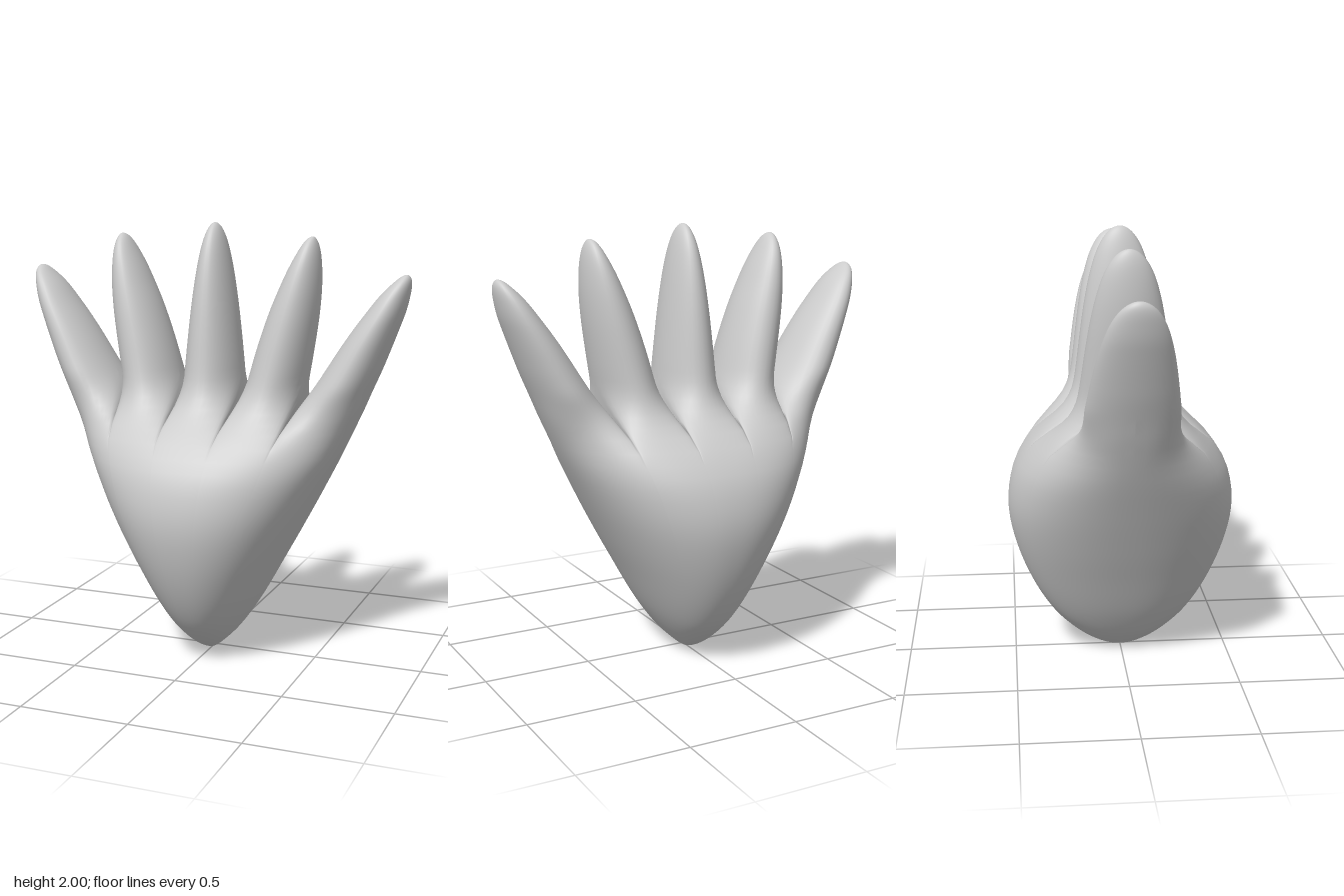
import * as THREE from 'three';
import { mergeVertices } from 'three/addons/utils/BufferGeometryUtils.js';

const FORK = 1.1; // height where the five fingers separate
const ROUND = 2.2; // superellipse exponent of the palm section
const N = 16; // points across one finger, front or back

// Smooth interpolation through [key, value] points.
function curve(points, warp = (k) => k) {
  const p = points.map(([k, v]) => [warp(k), v]);
  const last = p.length - 1;
  const slope = (i) => {
    const a = p[Math.max(i - 1, 0)], b = p[Math.min(i + 1, last)];
    return (b[1] - a[1]) / (b[0] - a[0]);
  };
  return (key) => {
    const k = THREE.MathUtils.clamp(warp(key), p[0][0], p[last][0]);
    let i = 0;
    while (i < last - 1 && k > p[i + 1][0]) i++;
    const d = p[i + 1][0] - p[i][0], t = (k - p[i][0]) / d, t2 = t * t, t3 = t2 * t;
    return (2 * t3 - 3 * t2 + 1) * p[i][1] + (t3 - 2 * t2 + t) * d * slope(i)
      + (3 * t2 - 2 * t3) * p[i + 1][1] + (t3 - t2) * d * slope(i + 1);
  };
}
const fromBottom = (y) => Math.sqrt(Math.max(y, 0)); // rounds the lower end
const toTip = (h) => 1 - Math.sqrt(Math.max(1 - h, 0)); // rounds the fingertips

// Palm: half width and half depth by height
const palmWidth = curve([[0, 0], [0.03, 0.05], [0.1, 0.118], [0.2, 0.188], [0.4, 0.3],
  [0.6, 0.408], [0.8, 0.513], [1, 0.615], [1.1, 0.662], [1.3, 0.75]], fromBottom);
const palmDepth = curve([[0, 0], [0.03, 0.115], [0.1, 0.22], [0.2, 0.32], [0.4, 0.437], [0.6, 0.505],
  [0.75, 0.522], [0.9, 0.495], [1, 0.44], [1.1, 0.36], [1.2, 0.28], [1.3, 0.225], [1.4, 0.19]], fromBottom);

// Fingers: half depth, and inner and outer edges, from fork (0) to tip (1)
const fingerDepth = curve([[0, 0.27], [0.1, 0.24], [0.2, 0.217], [0.3, 0.202], [0.45, 0.185],
  [0.6, 0.166], [0.75, 0.14], [0.87, 0.108], [0.95, 0.07], [1, 0]], toTip);
const middle = [[0, 0.135], [0.22, 0.128], [0.44, 0.111], [0.67, 0.087], [0.83, 0.064], [0.944, 0.038], [1, 0]];
const fingers = [
  { tip: 2, inner: curve(middle.map(([h, x]) => [h, -x]), toTip), outer: curve(middle, toTip) },
  {
    tip: 1.945,
    inner: curve([[0, 0.135], [0.118, 0.154], [0.355, 0.204], [0.59, 0.268], [0.77, 0.331], [0.923, 0.397], [1, 0.46]], toTip),
    outer: curve([[0, 0.4], [0.118, 0.418], [0.355, 0.455], [0.59, 0.485], [0.77, 0.496], [0.923, 0.489], [1, 0.46]], toTip),
  },
  {
    tip: 1.79,
    inner: curve([[0, 0.4], [0.145, 0.44], [0.435, 0.56], [0.725, 0.695], [0.87, 0.772], [0.96, 0.835], [1, 0.885]], toTip),
    outer: curve([[0, 0.662], [0.145, 0.707], [0.435, 0.793], [0.725, 0.869], [0.87, 0.896], [0.96, 0.902], [1, 0.885]], toTip),
  },
];

// One level section of finger column k (-2..2): front left to right, then back.
function section(k, h, y) {
  const f = fingers[Math.abs(k)];
  const scale = y < FORK ? palmWidth(y) / palmWidth(FORK) : 1;
  let left = f.inner(h) * scale, right = f.outer(h) * scale;
  if (k < 0) [left, right] = [-right, -left];
  const blend = THREE.MathUtils.smoothstep(y, 1.04, 1.32);
  const boxy = THREE.MathUtils.lerp(0.6, 1, blend); // fingers start fuller at the root
  const width = Math.max(palmWidth(y), 1e-6);
  const front = [];
  for (let j = 0; j <= N; j++) {
    const a = (j / N) * Math.PI;
    const x = (left + right) / 2 - Math.cos(a) * (right - left) / 2;
    const q = Math.min(Math.abs(x) / width, 1);
    const palm = palmDepth(y) * Math.pow(1 - Math.pow(q, ROUND), 1 / ROUND);
    const finger = fingerDepth(h) * Math.pow(Math.max(Math.sin(a), 0), boxy);
    front.push([x, y, (1 - blend) * palm + blend * finger]);
  }
  return [...front, ...front.map(([x, yy, z]) => [x, yy, -z]).reverse()];
}

// Joins rings of points; the walls between columns are only built above the fork.
function loft(rings, closed, positions, indices) {
  const base = positions.length / 3, n = rings[0].length;
  rings.forEach((ring) => ring.forEach((p) => positions.push(...p)));
  for (let r = 0; r < rings.length - 1; r++) {
    for (let j = 0; j < n; j++) {
      if (!closed && (j === N || j === n - 1)) continue;
      const a = base + r * n + j, b = base + r * n + (j + 1) % n;
      indices.push(a, b, b + n, a, b + n, a + n);
    }
  }
}

export function createModel() {
  const positions = [], indices = [];
  for (let k = -2; k <= 2; k++) {
    const palmRings = [], fingerRings = [];
    for (let i = 0; i <= 40; i++) {
      const u = i / 40;
      palmRings.push(section(k, 0, FORK * u * u));
      const h = 1 - (1 - u) ** 2;
      fingerRings.push(section(k, h, FORK + h * (fingers[Math.abs(k)].tip - FORK)));
    }
    loft(palmRings, false, positions, indices);
    loft(fingerRings, true, positions, indices);
  }

  // Weld the columns into one smooth skin
  let geometry = new THREE.BufferGeometry();
  geometry.setAttribute('position', new THREE.Float32BufferAttribute(positions, 3));
  geometry.setIndex(indices);
  geometry = mergeVertices(geometry, 1e-4);
  geometry.computeVertexNormals();

  const hand = new THREE.Mesh(geometry, new THREE.MeshStandardMaterial({ color: 0xcccccc }));
  hand.name = 'palmWithFingers';
  const group = new THREE.Group();
  group.name = 'hand';
  group.add(hand);
  return group;
}
